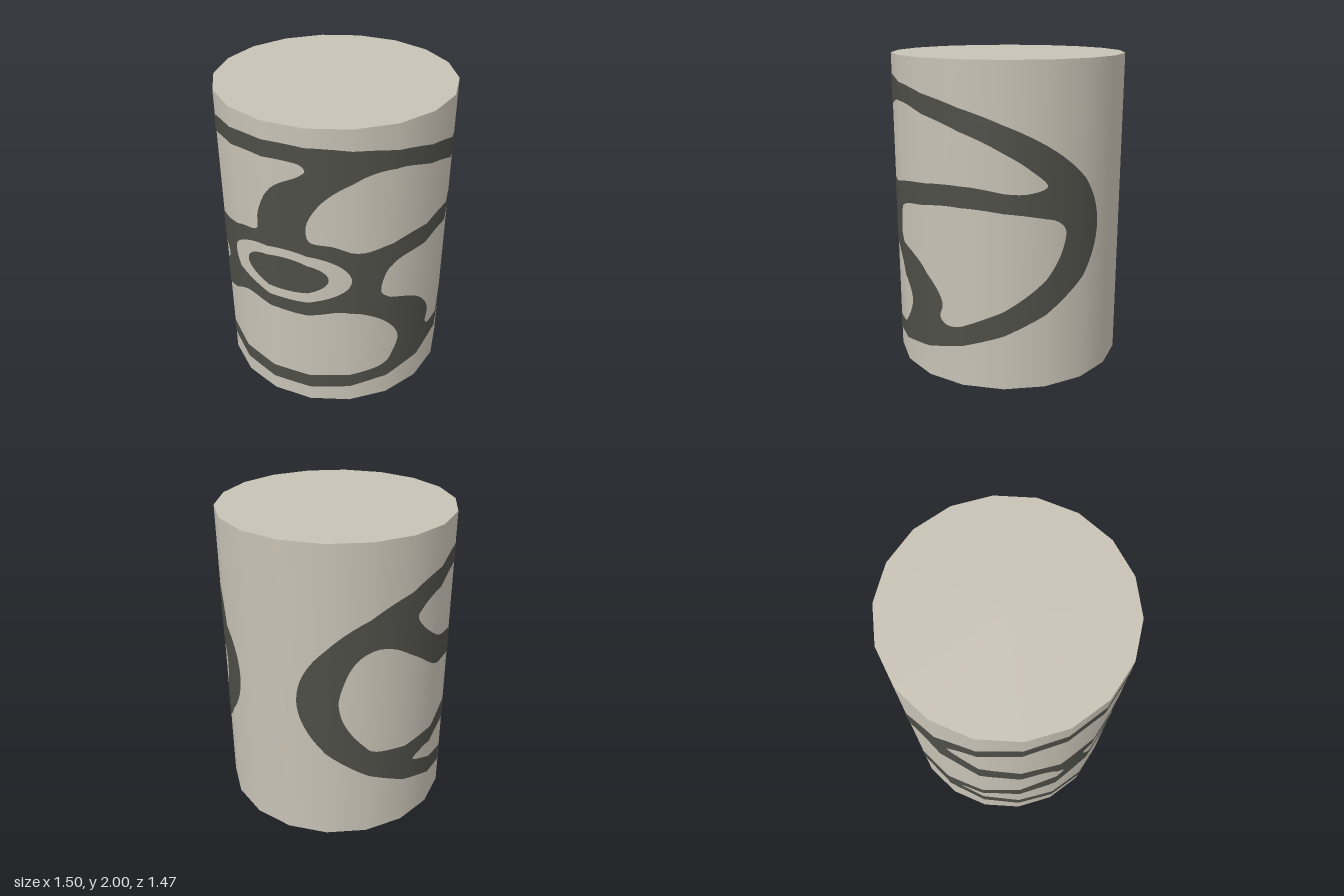
import * as THREE from 'three';

const R = 0.745, SIDES = 18, STEP = (2 * Math.PI) / SIDES;
const rad = THREE.MathUtils.degToRad;
const CENTRE = -2; // bearing of the wheel motif, degrees from the front

// Ellipse on the unrolled wall: x is the bearing, y the height
function ellipse(halfAngle, halfHeight, y = 1) {
  return new THREE.EllipseCurve(rad(CENTRE), y, rad(halfAngle), halfHeight).getPoints(120).slice(0, -1);
}

// Opening between two spokes: an arc of the rim, closed by a smooth line through [bearing, height] points
function opening(from, to, edge) {
  const points = edge.map(([a, y]) => new THREE.Vector3(rad(a), y, 0));
  for (let i = 6; i >= 0; i--) {
    const t = rad(from + ((to - from) * i) / 6);
    points.unshift(new THREE.Vector3(rad(CENTRE + 142 * Math.cos(t)), 1 + 0.785 * Math.sin(t), 0));
  }
  const line = new THREE.CatmullRomCurve3(points, true).getPoints(points.length * 6).slice(0, -1);
  return new THREE.Path(line.map((p) => new THREE.Vector2(p.x, p.y)));
}

// Keep the part of a convex polygon on one side of a bearing
function clip(poly, limit, sign) {
  const out = [];
  poly.forEach((a, i) => {
    const b = poly[(i + 1) % poly.length];
    const da = sign * (a.x - limit), db = sign * (b.x - limit);
    if (da >= 0) out.push(a);
    if (da * db < 0) out.push(a.clone().lerp(b, da / (da - db)));
  });
  return out;
}

// Wrap a flat (bearing, height) shape onto the faceted wall
function wrap(shape, radius) {
  const flat = new THREE.ShapeGeometry(shape);
  const pos = flat.attributes.position, index = flat.index;
  const positions = [], normals = [];
  for (let t = 0; t < index.count; t += 3) {
    const tri = [0, 1, 2].map((k) => new THREE.Vector2().fromBufferAttribute(pos, index.getX(t + k)));
    for (let f = 0; f < SIDES; f++) {
      const a = rad(-170) + f * STEP, b = a + STEP;
      const poly = clip(clip(tri, a, 1), b, -1);
      for (let i = 1; i + 1 < poly.length; i++) {
        for (const p of [poly[0], poly[i], poly[i + 1]]) {
          const w = (p.x - a) / STEP;
          const x = THREE.MathUtils.lerp(Math.sin(a), Math.sin(b), w);
          const z = THREE.MathUtils.lerp(Math.cos(a), Math.cos(b), w);
          const len = Math.hypot(x, z);
          positions.push(x * radius, p.y, z * radius);
          normals.push(x / len, 0, z / len);
        }
      }
    }
  }
  const geometry = new THREE.BufferGeometry();
  geometry.setAttribute('position', new THREE.Float32BufferAttribute(positions, 3));
  geometry.setAttribute('normal', new THREE.Float32BufferAttribute(normals, 3));
  return geometry;
}

export function createModel() {
  const stone = new THREE.MeshStandardMaterial({ color: 0xc8c2b5 });
  stone.name = 'warm grey';
  const paint = new THREE.MeshStandardMaterial({ color: 0x4e4e48 });
  paint.name = 'dark grey';

  const group = new THREE.Group();
  const add = (name, geometry, material) => {
    const mesh = new THREE.Mesh(geometry, material);
    mesh.name = name;
    group.add(mesh);
    return mesh;
  };

  // Drum
  add('drum', new THREE.CylinderGeometry(R, R, 2, SIDES, 1, false, rad(10)), stone).position.y = 1;

  // Wheel motif: rim, hub and five curved spokes, left by cutting openings
  const wheel = new THREE.Shape(ellipse(162, 0.89));
  wheel.holes.push(new THREE.Path(ellipse(32.5, 0.186, 1.005)));
  // Upper right
  wheel.holes.push(opening(29, 68, [[38, 1.71], [26, 1.64], [15.5, 1.525], [10, 1.39], [11, 1.285],
    [22, 1.25], [36, 1.195], [52, 1.235], [90, 1.28], [121, 1.24], [130, 1.285]]));
  // Right
  wheel.holes.push(opening(0, -52, [[80, 0.388], [77.5, 0.43], [79, 0.52], [69, 0.705], [47, 0.85],
    [45, 0.89], [49, 1.06], [66, 1.12], [90, 1.15], [124.6, 1.1], [136, 1.06]]));
  // Bottom
  wheel.holes.push(opening(-70, -131, [[-103, 0.455], [-90, 0.515], [-54, 0.583], [-39.5, 0.65], [-28, 0.74],
    [-14, 0.735], [2, 0.722], [14, 0.735], [26.5, 0.76], [36, 0.73], [49.5, 0.615], [56, 0.466], [53, 0.35]]));
  // Left
  wheel.holes.push(opening(-152, -182, [[-138, 1.24], [-130, 1.335], [-119, 1.33], [-104, 1.22], [-90, 1.1],
    [-68, 1.055], [-54, 1.02], [-46, 0.865], [-58, 0.77], [-88, 0.635], [-113, 0.605]]));
  // Upper left
  wheel.holes.push(opening(130, 88, [[8, 1.775], [10, 1.745], [7, 1.705], [-7, 1.59], [-15, 1.39],
    [-16, 1.28], [-27, 1.24], [-46, 1.177], [-68, 1.23], [-90, 1.3], [-105, 1.49], [-102, 1.535]]));
  add('wheelMotif', wrap(wheel, R + 0.003), paint);

  // Hub centre
  add('hubCentre', wrap(new THREE.Shape(ellipse(21.8, 0.122, 1.007)), R + 0.003), paint);

  return group;
}
